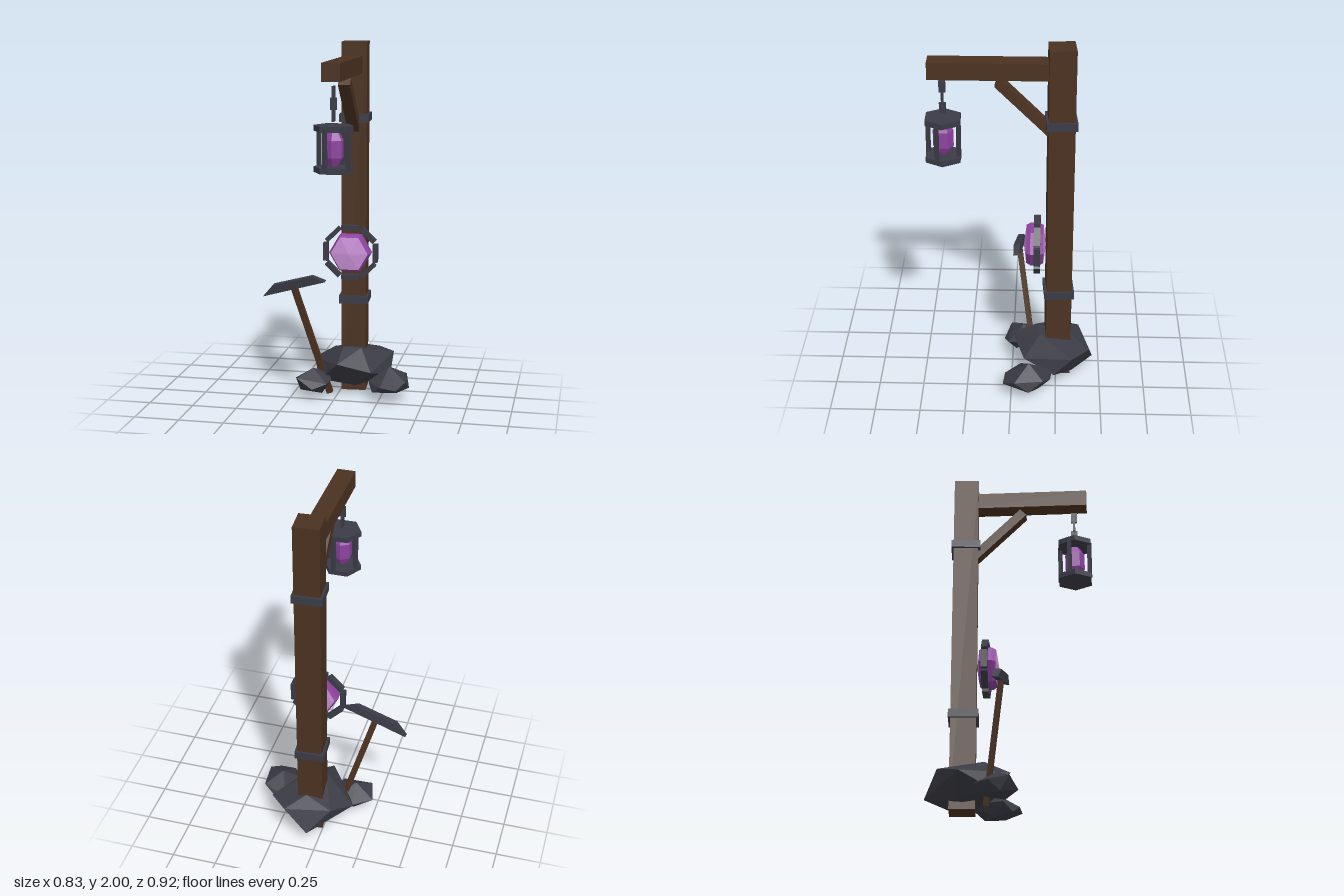
import * as THREE from 'three';
import { ConvexGeometry } from 'three/addons/geometries/ConvexGeometry.js';

const mat = (name, color) => new THREE.MeshStandardMaterial({ name, color, flatShading: true });

export function createModel() {
  const wood = mat('wood', 0x4b3221);
  const iron = mat('iron', 0x3a3b46);
  const stone = mat('stone', 0x393a43);
  const purple = mat('purple crystal', 0x8e43a0);
  const pale = mat('glowing crystal', 0xc88fd6);
  const root = new THREE.Group();

  const add = (parent, name, geo, material, x = 0, y = 0, z = 0) => {
    const m = new THREE.Mesh(geo, material);
    m.name = name;
    m.position.set(x, y, z);
    parent.add(m);
    return m;
  };
  const box = (parent, name, size, material, pos) =>
    add(parent, name, new THREE.BoxGeometry(...size), material, ...pos);
  const group = (name, x, y, z) => {
    const g = new THREE.Group();
    g.name = name;
    g.position.set(x, y, z);
    root.add(g);
    return g;
  };

  // Post with two iron bands, turned slightly
  const post = group('post', 0.074, 0, -0.258);
  post.rotation.y = 0.07;
  box(post, 'postShaft', [0.14, 1.99, 0.14], wood, [0, 1.005, 0]);
  for (const y of [0.545, 1.58]) box(post, 'postBand', [0.165, 0.045, 0.165], iron, [0, y, 0]);

  // Arm and diagonal brace
  box(root, 'arm', [0.1, 0.095, 0.66], wood, [0.075, 1.875, 0.11]);
  const brace = box(root, 'brace', [0.065, 0.052, 0.42], wood, [0.075, 1.654, -0.076]);
  brace.rotation.x = -Math.PI / 4;

  // Hanging lantern
  const lantern = group('lantern', 0.075, 0, 0.365);
  [1.77, 1.71, 1.65].forEach((y, i) => {
    const link = box(lantern, 'chainLink', [0.012, 0.062, 0.036], iron, [0, y, 0]);
    if (i === 1) link.rotation.y = Math.PI / 2;
  });
  for (const y of [1.37, 1.585]) {
    const plate = add(lantern, 'lanternPlate', new THREE.CylinderGeometry(0.106, 0.106, 0.03, 6), iron, 0, y, 0);
    plate.rotation.y = Math.PI / 6;
  }
  for (let i = 0; i < 4; i++) {
    const a = 0.34 + i * Math.PI / 2;
    const bar = box(lantern, 'lanternBar', [0.02, 0.22, 0.02], iron,
      [0.088 * Math.cos(a), 1.478, 0.088 * Math.sin(a)]);
    bar.rotation.y = -a;
  }
  const profile = [[0, -0.088], [0.03, -0.088], [0.055, -0.045], [0.055, 0.045], [0.03, 0.088], [0, 0.088]];
  add(lantern, 'lanternCrystal',
    new THREE.LatheGeometry(profile.map(p => new THREE.Vector2(...p)), 6), purple, 0, 1.478, 0);

  // Large crystal: purple rim, pale faceted caps front and back
  const gem = group('gem', 0.073, 0.832, -0.125);
  const turned = (name, geo, material, z, dir = 1) => {
    geo.rotateY(Math.PI / 6).rotateX(dir * Math.PI / 2);
    return add(gem, name, geo, material, 0, 0, z);
  };
  turned('gemRim', new THREE.CylinderGeometry(0.105, 0.118, 0.022, 6, 1, true), purple, 0.036);
  turned('gemRimMiddle', new THREE.CylinderGeometry(0.118, 0.118, 0.05, 6, 1, true), purple, 0);
  turned('gemRimBack', new THREE.CylinderGeometry(0.118, 0.105, 0.022, 6, 1, true), purple, -0.036);
  turned('gemFront', new THREE.ConeGeometry(0.105, 0.014, 6, 1, true), pale, 0.054);
  turned('gemBack', new THREE.ConeGeometry(0.105, 0.014, 6, 1, true), pale, -0.054, -1);

  // Octagonal frame of separate bars
  const frame = group('gemFrame', 0.071, 0.83, -0.137);
  for (let i = 0; i < 8; i++) {
    const a = i * Math.PI / 4;
    const bar = box(frame, 'frameBar', [0.026, 0.104, 0.036], iron,
      [0.141 * Math.cos(a), 0.141 * Math.sin(a), 0]);
    bar.rotation.z = a;
  }

  // Pickaxe leaning on the rocks
  const foot = new THREE.Vector3(-0.045, 0.008, -0.123);
  const tip = new THREE.Vector3(-0.237, 0.655, -0.03);
  const dir = tip.clone().sub(foot);
  const handle = box(root, 'pickHandle', [0.034, dir.length(), 0.03], wood,
    foot.clone().add(tip).multiplyScalar(0.5).toArray());
  handle.quaternion.setFromUnitVectors(new THREE.Vector3(0, 1, 0), dir.normalize());
  const blade = new THREE.Shape([[-0.19, -0.025], [0.19, -0.025], [0.125, 0.022], [-0.113, 0.025]]
    .map(p => new THREE.Vector2(...p)));
  const head = add(root, 'pickHead',
    new THREE.ExtrudeGeometry(blade, { depth: 0.036, bevelEnabled: false }).translate(0, 0, -0.018),
    iron, -0.238, 0.654, -0.033);
  head.rotation.set(0.14, -0.05, 0.292);

  // Faceted rocks as hulls of a few corners
  const rock = (name, pts) =>
    add(root, name, new ConvexGeometry(pts.map(p => new THREE.Vector3(...p))), stone);
  rock('mainRock', [
    [0.055, 0.08, -0.46], [0.19, 0.21, -0.435], [0.29, 0.21, -0.34], [0.285, 0.1, -0.24],
    [0.2, 0.15, -0.07], [0.02, 0.21, 0], [-0.1, 0.09, -0.1], [-0.165, 0.17, -0.26],
    [-0.065, 0.21, -0.38], [0.03, 0.277, -0.14], [0.13, 0.27, -0.16], [0.09, 0.25, -0.33],
    [0.1, 0.05, -0.15], [-0.03, 0.05, -0.28], [0.17, 0.055, -0.34]]);
  rock('leftRock', [
    [-0.24, 0.09, -0.1], [-0.14, 0.1, -0.185], [-0.21, 0.12, 0.01], [-0.115, 0.07, 0.05],
    [-0.035, 0.1, 0.025], [-0.02, 0.11, -0.03], [-0.13, 0.165, -0.06], [-0.05, 0.13, -0.14],
    [-0.2, 0.04, -0.04], [-0.07, 0.033, -0.02], [-0.13, 0.035, -0.13]]);
  rock('rightRock', [
    [0.19, 0.11, -0.05], [0.25, 0.11, -0.23], [0.325, 0.1, -0.22], [0.39, 0.13, -0.18],
    [0.415, 0.07, -0.1], [0.405, 0.125, -0.02], [0.36, 0.09, 0.045], [0.27, 0.1, 0.035],
    [0.3, 0.188, -0.1], [0.22, 0.06, 0], [0.25, 0.04, -0.1], [0.35, 0.05, -0.05], [0.33, 0.045, -0.16]]);

  return root;
}
